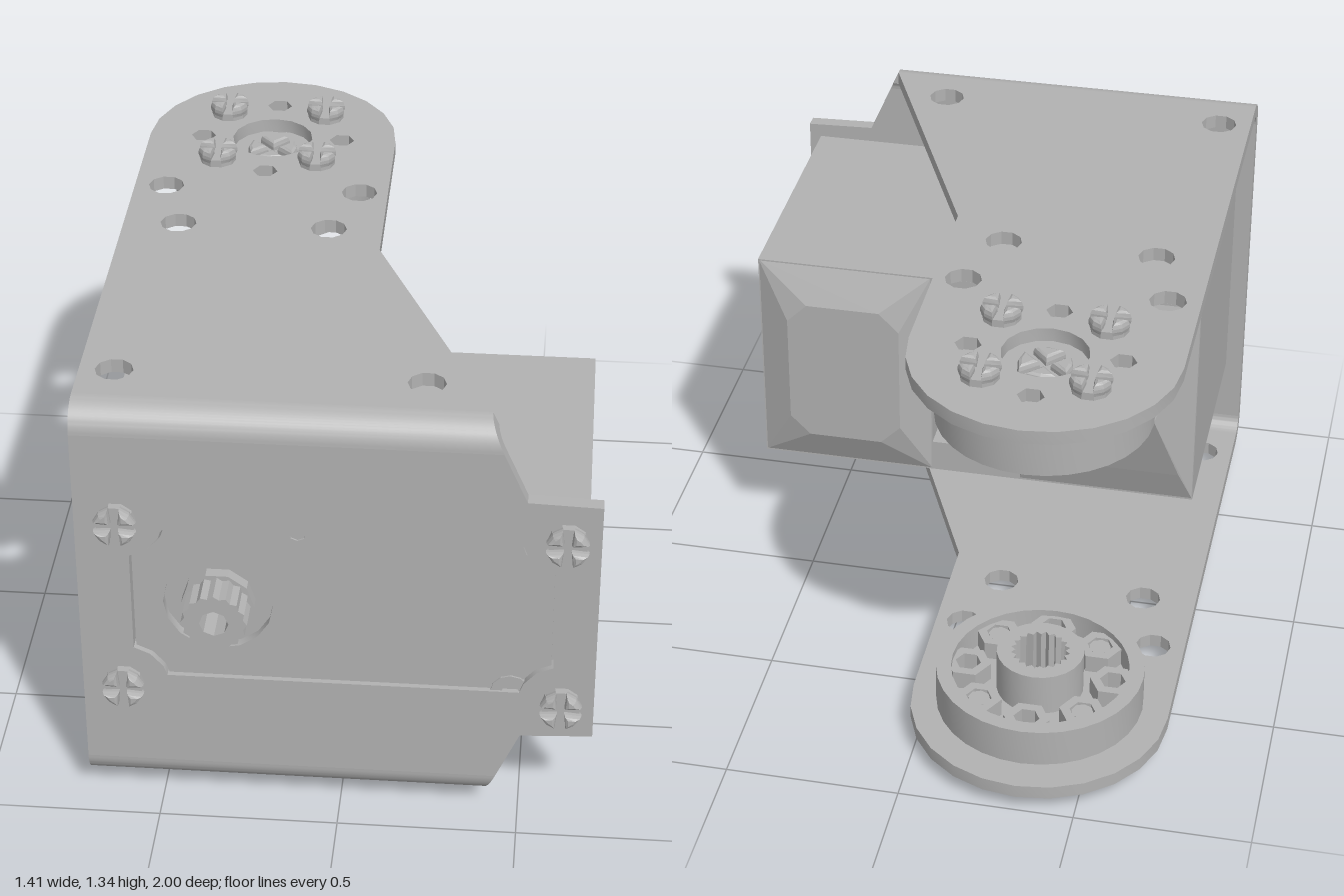
import * as THREE from 'three';
import { toCreasedNormals } from 'three/addons/utils/BufferGeometryUtils.js';
import { ConvexGeometry } from 'three/addons/geometries/ConvexGeometry.js';

const grey = new THREE.MeshStandardMaterial({ color: 0xb2b2b2 });
grey.name = 'plain grey';

function add(parent, name, geometry, x = 0, y = 0, z = 0) {
  const mesh = new THREE.Mesh(geometry, grey);
  mesh.name = name;
  mesh.position.set(x, y, z);
  parent.add(mesh);
  return mesh;
}

// Regular polygon or, with a second radius, a toothed ring of points
function ring(n, r, x = 0, y = 0, r2 = r) {
  return Array.from({ length: n }, (_, i) => {
    const a = (i / n) * Math.PI * 2, q = i % 2 ? r2 : r;
    return new THREE.Vector2(x + q * Math.cos(a), y + q * Math.sin(a));
  });
}

function extrude(outline, holes, depth, crease = 0.45) {
  const shape = new THREE.Shape(outline);
  shape.holes = holes.map((h) => new THREE.Path(h));
  return toCreasedNormals(new THREE.ExtrudeGeometry(shape, { depth, bevelEnabled: false }), crease);
}

// Same, but lying flat: depth runs along +y
const slab = (outline, holes, depth) => extrude(outline, holes, depth).rotateX(-Math.PI / 2);

const rect = (x0, y0, x1, y1) =>
  [[x0, y0], [x1, y0], [x1, y1], [x0, y1]].map((p) => new THREE.Vector2(...p));

// Domed cross-slot screw head, standing along +z
function screw(name, r) {
  const g = new THREE.Group();
  g.name = name;
  add(g, 'headBase', extrude(ring(10, r), [], 0.022));
  const s = new THREE.Shape();
  const gap = 0.022;
  s.moveTo(gap, gap);
  s.lineTo(r - 0.013, gap);
  s.lineTo(r * 0.6, r * 0.6);
  s.lineTo(gap, r - 0.013);
  const quarter = new THREE.ExtrudeGeometry(s, {
    depth: 0.01, bevelEnabled: true, bevelThickness: 0.016, bevelSize: 0.012, bevelSegments: 2,
  });
  for (let i = 0; i < 4; i++) add(g, 'headQuarter', quarter, 0, 0, 0.023).rotation.z = (i * Math.PI) / 2;
  return g;
}

const CX = -0.335, CZ = -0.63;

// Flange, lying flat with a rounded tongue at the back
function flangeGeometry() {
  const pts = [[-0.71, 0.835], [0.4, 0.835], [0.04, 0.02]];
  for (let i = 0; i <= 12; i++) {
    const a = (i / 12) * Math.PI;
    pts.push([CX + 0.372 * Math.cos(a), CZ - 0.372 * Math.sin(a)]);
  }
  const holes = [[-0.615, -0.31], [-0.045, -0.31], [-0.55, -0.09], [-0.115, -0.09], [-0.615, 0.71], [0.22, 0.71]]
    .map(([x, z]) => ring(10, 0.052, x, -z));
  for (let i = 0; i < 4; i++) {
    const a = (i * Math.PI) / 2;
    holes.push(ring(6, 0.037, CX + 0.21 * Math.cos(a), -CZ + 0.21 * Math.sin(a)));
  }
  holes.push(ring(16, 0.12, CX, -CZ));
  return slab(pts.map(([x, z]) => new THREE.Vector2(x, -z)), holes, 0.04);
}

// Quarter-round bend joining a flange (s = 1 top, -1 bottom) to the front plate
function bendGeometry(s) {
  const y = s > 0 ? 1.21 : 0.13;
  const shape = new THREE.Shape();
  shape.absarc(0.835, y, 0.08, 0, (s * Math.PI) / 2, s < 0);
  shape.absarc(0.835, y, 0.04, (s * Math.PI) / 2, 0, s > 0);
  const g = new THREE.ExtrudeGeometry(shape, { depth: 1.11, bevelEnabled: false, curveSegments: 8 });
  g.rotateY(-Math.PI / 2).translate(0.4, 0, 0);
  const p = g.attributes.position;
  for (let i = 0; i < p.count; i++) {
    if (p.getX(i) > 0) p.setX(i, 0.4 + 0.44 * Math.max(0, 0.08 - Math.abs(p.getY(i) - y)));
  }
  return toCreasedNormals(g, 0.45);
}

// Notched window in the front plate
function windowOutline(k) {
  const q = [[0.575, 0.155], [0.53, 0.175], [0.495, 0.215], [0.485, 0.245]];
  const r = [...q].reverse();
  return [
    ...q, ...r.map(([x, y]) => [-x, y]),
    ...q.map(([x, y]) => [-x, -y]), ...r.map(([x, y]) => [x, -y]),
  ].map(([x, y]) => new THREE.Vector2(0.01 + x * k, 0.675 + y * k));
}

function bracket() {
  const g = new THREE.Group();
  g.name = 'bracket';
  const flange = flangeGeometry();
  add(g, 'bottomFlange', flange, 0, 0.05);
  add(g, 'topFlange', flange, 0, 1.25);
  add(g, 'bottomBend', bendGeometry(-1));
  add(g, 'topBend', bendGeometry(1));
  const outline = [[-0.71, 0.13], [0.435, 0.13], [0.5, 0.28], [0.7, 0.29], [0.7, 1.055], [0.5, 1.062], [0.435, 1.21], [-0.71, 1.21]]
    .map((p) => new THREE.Vector2(...p));
  add(g, 'frontPlate', extrude(outline, [windowOutline(1)], 0.04), 0, 0, 0.875);
  for (const x of [-0.595, 0.61]) for (const y of [0.4, 0.945]) {
    const s = screw('frontScrew', 0.055);
    s.position.set(x, y, 0.915);
    g.add(s);
  }
  return g;
}

function motor() {
  const g = new THREE.Group();
  g.name = 'motor';
  add(g, 'case', new THREE.BoxGeometry(1.325, 0.685, 0.655), 0.0025, 0.6725, 0.5475);
  // Rear frame with its open pocket
  add(g, 'rearFrame', extrude(rect(-0.66, 0.33, 0.665, 1.015), [rect(-0.13, 0.43, 0.14, 0.91)], 0.11), 0, 0, 0.11);
  add(g, 'pocketRib', new THREE.BoxGeometry(0.03, 0.48, 0.07), 0.04, 0.67, 0.19);
  // Faceted rear covers
  const at = (list, z) => list.map((p) => new THREE.Vector3(p.x, p.y, z));
  const panel = [[0.23, 0.5], [0.29, 0.44], [0.51, 0.44], [0.57, 0.5], [0.57, 0.84], [0.51, 0.9], [0.29, 0.9], [0.23, 0.84]]
    .map((p) => new THREE.Vector2(...p));
  add(g, 'rearPanel', new ConvexGeometry([...at(rect(0.14, 0.33, 0.665, 1.015), 0.112), ...at(panel, 0.062)]));
  add(g, 'rearPeak', new ConvexGeometry([
    ...at(rect(-0.66, 0.33, -0.13, 1.015), 0.112),
    ...at(rect(-0.62, 0.44, -0.15, 0.9), 0.073),
    new THREE.Vector3(-0.55, 0.67, 0),
  ]));
  // Front cover and output shaft
  add(g, 'frontCover', extrude(windowOutline(0.99), [ring(16, 0.15, -0.33, 0.675)], 0.03), 0, 0, 0.873);
  add(g, 'shaftCollar', extrude(ring(10, 0.1), [ring(10, 0.075)], 0.035), -0.33, 0.675, 0.873);
  add(g, 'outputShaft', extrude(ring(32, 0.09, 0, 0, 0.081), [ring(8, 0.04)], 0.125, 0.1), -0.33, 0.675, 0.87);
  for (const [x, y] of [[-0.11, 0.925], [0.47, 0.425]]) {
    add(g, 'coverScrew', extrude(ring(12, 0.055), [ring(8, 0.025)], 0.035), x, y, 0.873);
  }
  return g;
}

// Round coupling wheel: web at y = 0, hub rising along +y
function wheel(name, hubHeight) {
  const g = new THREE.Group();
  g.name = name;
  const spots = ring(8, 0.21);
  add(g, 'rim', slab(ring(32, 0.298), [ring(32, 0.255)], 0.115));
  add(g, 'web', slab(ring(32, 0.27), [...spots.map((p) => ring(6, 0.037, p.x, p.y)), ring(12, 0.05)], 0.04));
  const boss = slab(ring(6, 0.066), [ring(6, 0.037)], 0.095);
  spots.forEach((p) => add(g, 'boss', boss, p.x, 0, p.y));
  add(g, 'hub', slab(ring(24, 0.125), [ring(40, 0.085, 0, 0, 0.072)], hubHeight));
  return g;
}

// Wheel with its screws, built for the bottom flange
function coupling(name, wheelY, hubHeight) {
  const g = new THREE.Group();
  g.name = name;
  const w = wheel('wheel', hubHeight);
  w.position.y = wheelY;
  g.add(w);
  for (const x of [-0.148, 0.148]) for (const z of [-0.148, 0.148]) {
    const s = screw('wheelScrew', 0.054);
    s.position.set(x, 0.05, z);
    s.rotation.x = Math.PI / 2;
    g.add(s);
    add(g, 'screwShank', new THREE.CylinderGeometry(0.032, 0.032, 0.15, 8), x, 0.125, z);
  }
  const c = screw('centreScrew', 0.075);
  c.position.y = wheelY;
  c.rotation.set(Math.PI / 2, 0, Math.PI / 4);
  g.add(c);
  add(g, 'centreShank', new THREE.CylinderGeometry(0.045, 0.045, 0.06, 10), 0, wheelY + 0.02, 0);
  return g;
}

export function createModel() {
  const model = new THREE.Group();
  model.name = 'motorBracket';
  model.add(bracket(), motor());
  const bottom = coupling('bottomCoupling', 0.11, 0.17);
  bottom.position.set(CX, 0, CZ);
  const top = coupling('topCoupling', 0.125, 0.115);
  top.position.set(CX, 1.34, CZ);
  top.rotation.x = Math.PI;
  model.add(bottom, top);
  return model;
}
